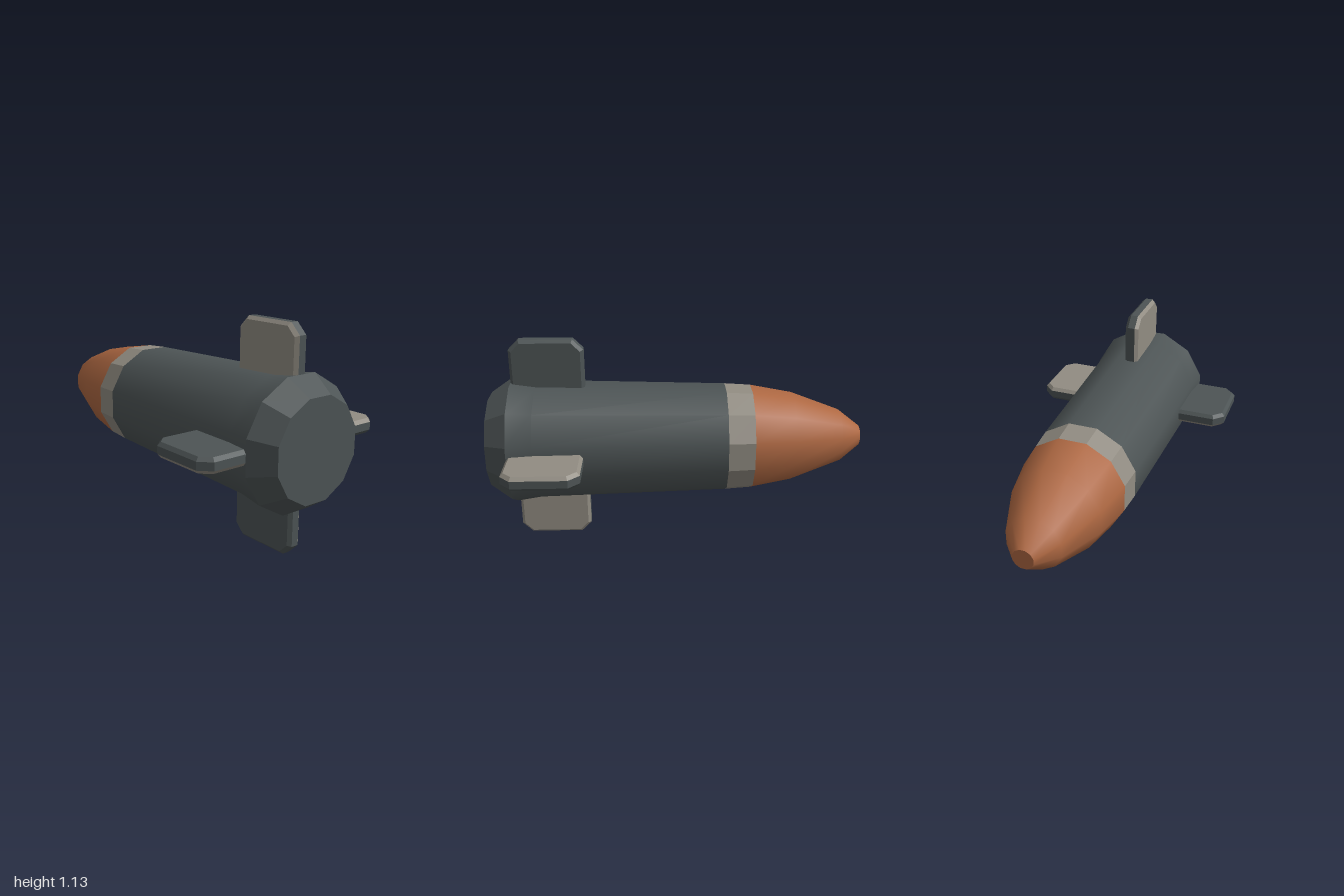
import * as THREE from 'three';

const SIDES = 12;
const AXIS_Y = 0.565;
const CORNER = 1 / Math.cos(Math.PI / SIDES); // flat-to-flat radius -> corner radius

const paint = (name, color) => {
  const m = new THREE.MeshStandardMaterial({ color });
  m.name = name;
  return m;
};

// Twelve-sided turned part along z; profile is [radius to flat, z] from nose to tail
function turned(name, profile, material, flat) {
  const points = profile.map(([r, z]) => new THREE.Vector2(r * CORNER, z));
  let geo = new THREE.LatheGeometry(points, SIDES, Math.PI / SIDES);
  if (flat) {
    geo = geo.toNonIndexed();
    geo.computeVertexNormals();
  }
  geo.rotateX(Math.PI / 2);
  const mesh = new THREE.Mesh(geo, material);
  mesh.name = name;
  return mesh;
}

// Bevelled fin standing up from the axis, one broad side in the second material
function finGeometry() {
  const front = 0.88, back = 0.49, root = 0.2, tip = 0.565, cut = 0.055;
  const shape = new THREE.Shape([
    [back, root], [front, root], [front, tip - cut],
    [front - cut, tip], [back + cut, tip], [back, tip - cut],
  ].map(([z, r]) => new THREE.Vector2(z, r)));
  const geo = new THREE.ExtrudeGeometry(shape, {
    depth: 0.04, bevelThickness: 0.018, bevelSize: 0.016, bevelOffset: -0.016, bevelSegments: 1,
  });
  geo.translate(0, 0, -0.02);
  // Colour the face and bevel on one side of the fin
  geo.clearGroups();
  const p = geo.attributes.position;
  for (let i = 0; i < p.count; i += 3) {
    const mid = (p.getZ(i) + p.getZ(i + 1) + p.getZ(i + 2)) / 3;
    geo.addGroup(i, 3, mid > 0.0205 ? 1 : 0);
  }
  return geo.rotateY(-Math.PI / 2);
}

export function createModel() {
  const dark = paint('dark steel', 0x4d5455);
  const grey = paint('warm grey', 0x918c82);
  const copper = paint('copper', 0xae6842);

  const model = new THREE.Group();
  model.name = 'shell';
  const hull = new THREE.Group();
  hull.name = 'hull';
  hull.position.y = AXIS_Y;
  model.add(hull);

  hull.add(
    turned('noseTip', [[0, -1], [0.053, -1]], copper, true),
    turned('nose', [[0.053, -1], [0.14, -0.885], [0.234, -0.625], [0.275, -0.4]], copper, false),
    turned('band', [[0.275, -0.4], [0.284, -0.26]], grey, true),
    turned('body', [[0.284, -0.26], [0.312, 0.75], [0.331, 0.88]], dark, false),
    turned('tail', [[0.331, 0.88], [0.251, 1], [0, 1]], dark, true),
  );

  // Four fins, each turned a quarter further round the axis
  const geo = finGeometry();
  ['topFin', 'leftFin', 'bottomFin', 'rightFin'].forEach((name, i) => {
    const fin = new THREE.Mesh(geo, [dark, grey]);
    fin.name = name;
    fin.rotation.z = -i * Math.PI / 2;
    hull.add(fin);
  });
  return model;
}
